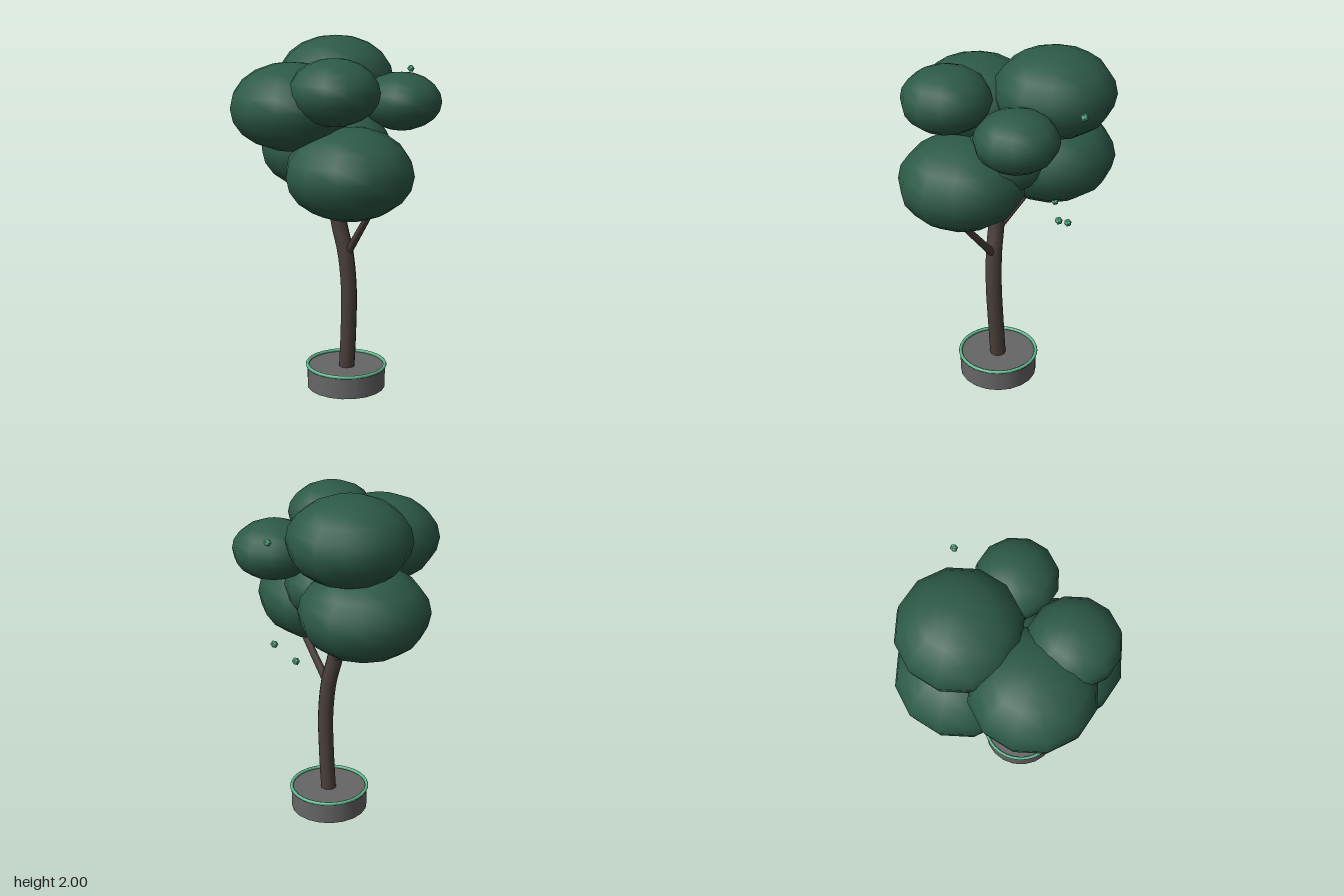
import * as THREE from 'three';

const paint = (color, flatShading = false) => new THREE.MeshStandardMaterial({ color, flatShading });
const leafMat = paint(0x2d5a47);
const barkMat = paint(0x4a3f3b);
const stoneMat = paint(0x666666);
const mintMat = paint(0x5fb88f);
const glowMat = paint(0x5fb88f, true);

function add(group, name, geometry, material, x = 0, y = 0, z = 0) {
  const mesh = new THREE.Mesh(geometry, material);
  mesh.name = name;
  mesh.position.set(x, y, z);
  group.add(mesh);
  return mesh;
}

// Straight tapered limb between two points
function limb(group, name, from, to, r0, r1) {
  const a = new THREE.Vector3(...from), b = new THREE.Vector3(...to);
  const dir = b.clone().sub(a);
  const mid = a.clone().add(b).multiplyScalar(0.5);
  const mesh = add(group, name, new THREE.CylinderGeometry(r1, r0, dir.length(), 8), barkMat, mid.x, mid.y, mid.z);
  mesh.quaternion.setFromUnitVectors(new THREE.Vector3(0, 1, 0), dir.normalize());
}

export function createModel() {
  const tree = new THREE.Group();
  tree.name = 'pottedTree';
  const bx = 0.09, bz = -0.02;

  // Round planter with a coloured rim
  add(tree, 'planter', new THREE.CylinderGeometry(0.226, 0.226, 0.12, 20), stoneMat, bx, 0.06, bz);
  const rim = add(tree, 'planterRim', new THREE.TorusGeometry(0.225, 0.01, 8, 32), mintMat, bx, 0.13, bz);
  rim.rotation.x = Math.PI / 2;

  // Gently curved trunk
  const path = new THREE.CatmullRomCurve3([
    [0.09, 0.06, -0.022], [0.108, 0.32, -0.018], [0.118, 0.6, -0.01],
    [0.1, 0.81, 0], [0.057, 1.0, 0.012], [0.05, 1.3, 0.02],
  ].map(p => new THREE.Vector3(...p)));
  add(tree, 'trunk', new THREE.TubeGeometry(path, 24, 0.046, 10), barkMat);

  // Branches reaching into the lower foliage
  limb(tree, 'leftBranch', [0.1, 0.79, -0.01], [0.35, 1.11, 0.06], 0.024, 0.019);
  limb(tree, 'rightBranch', [0.05, 0.97, -0.01], [-0.18, 1.18, -0.1], 0.022, 0.017);

  // Flattened foliage clumps: name, centre, radius, half height
  const clumps = [
    ['crownClump', -0.17, 1.76, -0.213, 0.337, 0.24],
    ['frontClump', -0.08, 1.645, 0.245, 0.34, 0.241],
    ['lowerLeftClump', 0.231, 1.295, 0.114, 0.357, 0.255],
    ['lowerRightClump', -0.23, 1.357, -0.158, 0.36, 0.254],
    ['backLeftClump', 0.272, 1.656, -0.27, 0.228, 0.162],
    ['upperLeftClump', 0.218, 1.745, 0.223, 0.25, 0.18],
    ['coreClump', 0.05, 1.42, -0.04, 0.265, 0.19],
  ];
  for (const [name, x, y, z, r, h] of clumps) {
    add(tree, name, new THREE.SphereGeometry(1, 12, 10), leafMat, x, y, z).scale.set(r, h, r);
  }

  // Small floating motes behind the foliage
  const motes = [[0.1, 1.8, -0.565], [0.15, 1.193, -0.46], [0.025, 1.115, -0.44], [-0.03, 1.185, -0.32]];
  for (const p of motes) add(tree, 'mote', new THREE.IcosahedronGeometry(0.022, 0), glowMat, ...p);

  return tree;
}
